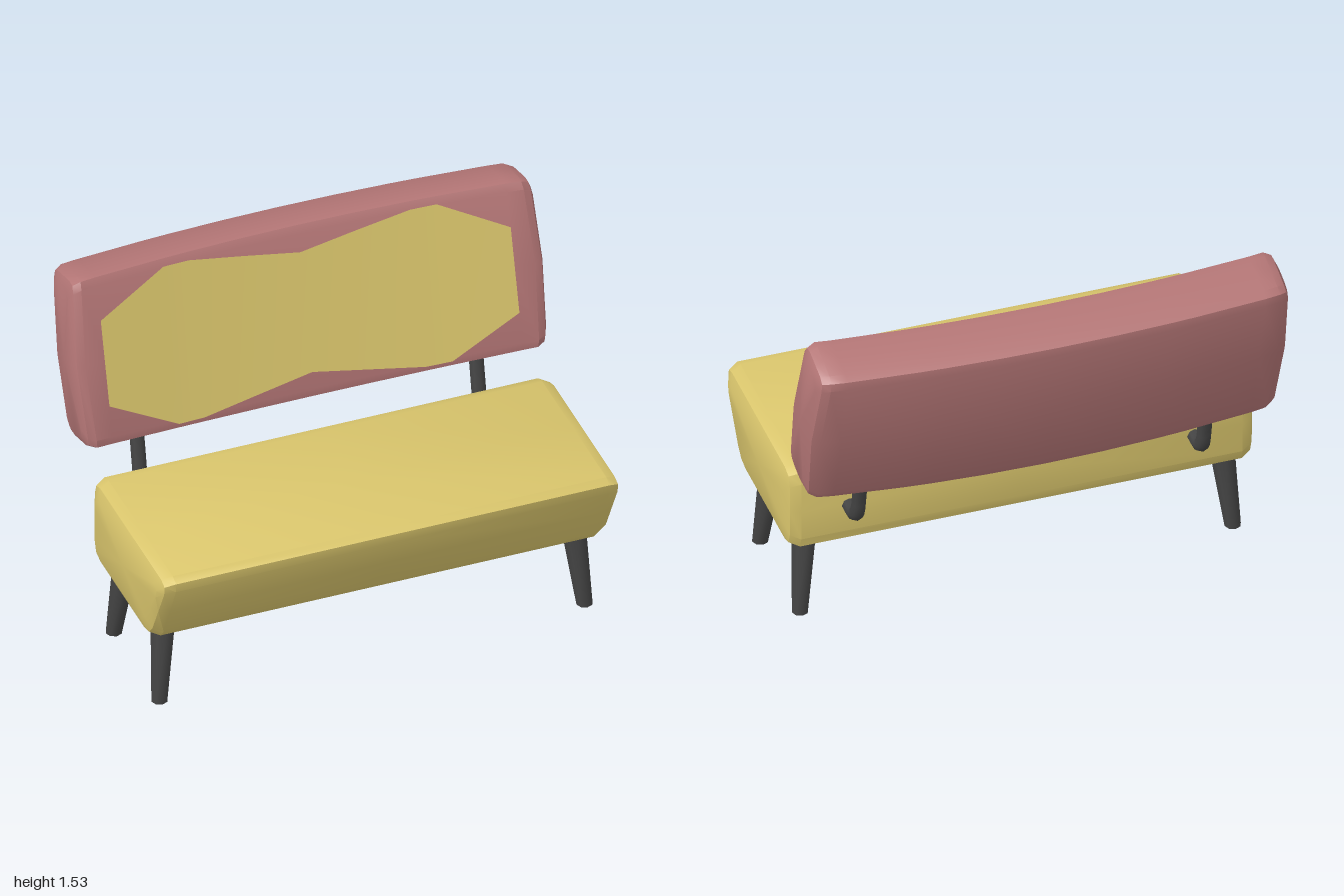
import * as THREE from 'three';
import { toCreasedNormals } from 'three/addons/utils/BufferGeometryUtils.js';

const mat = (name, color) => {
  const m = new THREE.MeshStandardMaterial({ color });
  m.name = name;
  return m;
};

// Four [z, y] corners (front bottom, back bottom, back top, front top), inset,
// with two-step bevels and a midpoint on each side.
function section(corners, inset, r) {
  const q = corners.map(([z, y], i) => new THREE.Vector2(
    z + (i === 0 || i === 3 ? -inset : inset), y + (i < 2 ? inset : -inset)));
  const pts = [];
  q.forEach((c, i) => {
    const prev = q[(i + 3) % 4], next = q[(i + 1) % 4];
    const a = prev.clone().sub(c).setLength(r).add(c);
    const b = next.clone().sub(c).setLength(r).add(c);
    const m = a.clone().add(b).multiplyScalar(0.25).addScaledVector(c, 0.5);
    pts.push(a, m, b, next.clone().add(c).multiplyScalar(0.5));
  });
  return pts;
}

// Cushion lofted along x, with bevelled ends; warp adjusts each point.
function cushion(corners, halfX, r, innerX, warp = (p) => p) {
  const half = [...innerX.map((x) => [x, 0]),
    [halfX - r, 0], [halfX - 0.3 * r, 0.3 * r], [halfX, r]];
  const stations = [...half.slice().reverse().map(([x, s]) => [-x, s]), [0, 0], ...half];
  const rings = stations.map(([x, s]) =>
    section(corners, s, r).map((p) => warp(new THREE.Vector3(x, p.y, p.x))));
  const pos = [];
  const tri = (...ps) => ps.forEach((p) => pos.push(p.x, p.y, p.z));
  const n = rings[0].length;
  for (let i = 0; i < rings.length - 1; i++) {
    for (let j = 0; j < n; j++) {
      const k = (j + 1) % n;
      tri(rings[i][j], rings[i][k], rings[i + 1][k]);
      tri(rings[i][j], rings[i + 1][k], rings[i + 1][j]);
    }
  }
  // end caps
  [rings[0], rings[rings.length - 1]].forEach((ring, e) => {
    const c = ring.reduce((s, p) => s.add(p), new THREE.Vector3()).divideScalar(n);
    c.x = Math.sign(c.x) * halfX;
    ring.forEach((p, j) => {
      const next = ring[(j + 1) % n];
      if (e) tri(c, p, next); else tri(c, next, p);
    });
  });
  const g = new THREE.BufferGeometry();
  g.setAttribute('position', new THREE.Float32BufferAttribute(pos, 3));
  return toCreasedNormals(g, 0.5);
}

export function createModel() {
  const model = new THREE.Group();
  const yellow = mat('yellow fabric', 0xd9c56c);
  const rose = mat('rose fabric', 0xb47676);
  const dark = mat('dark metal', 0x444444);
  const add = (parent, name, geo, material) => {
    const m = new THREE.Mesh(geo, material);
    m.name = name;
    parent.add(m);
    return m;
  };

  // Seat with a raked front
  add(model, 'seat', cushion(
    [[0.483, 0.345], [-0.15, 0.345], [-0.15, 0.735], [0.666, 0.735]], 0.98, 0.06, []), yellow);

  // Backrest: leaning, wrapping forward at the ends, slightly bulged outline
  const back = new THREE.Group();
  back.name = 'backrest';
  back.rotation.x = -Math.PI / 12;
  model.add(back);
  const midV = 1.213, halfV = 0.376, frontZ = 0.012;
  const sag = (x) => 0.055 * x * x;
  const bend = (p) => {
    const v = (p.y - midV) / halfV;
    p.z += sag(p.x);
    p.y -= v * 0.012 * p.x * p.x;
    if (Math.abs(p.x) > 0.9) p.x *= 1 - 0.022 * v * v;
    return p;
  };
  add(back, 'backCushion', cushion(
    [[frontZ, midV - halfV], [-0.233, midV - halfV], [-0.233, midV + halfV], [frontZ, midV + halfV]],
    1, 0.045, [0.24, 0.47, 0.58, 0.87], bend), rose);

  // Yellow front panel: [x, low, high]
  const cols = [[0, 0.955, 1.467], [0.24, 0.912, 1.507], [0.47, 0.873, 1.545],
    [0.58, 0.873, 1.545], [0.87, 1.022, 1.388]];
  const all = [...cols.slice(1).reverse().map(([x, a, b]) => [-x, a, b]), ...cols];
  const pos = [], index = [];
  all.forEach(([x, a, b], i) => {
    const z = frontZ + sag(x) + 0.004;
    pos.push(x, a, z, x, b, z);
    if (i) index.push(2 * i - 2, 2 * i, 2 * i + 1, 2 * i - 2, 2 * i + 1, 2 * i - 1);
  });
  const panel = new THREE.BufferGeometry();
  panel.setAttribute('position', new THREE.Float32BufferAttribute(pos, 3));
  panel.setIndex(index);
  panel.computeVertexNormals();
  add(back, 'backPanel', panel, yellow);

  for (const side of [-1, 1]) {
    // Tapered, splayed legs
    for (const [name, topZ, footZ] of [['frontLeg', 0.372, 0.415], ['backLeg', -0.036, -0.08]]) {
      const h = 0.37;
      const g = new THREE.CylinderGeometry(0.053, 0.034, h, 8);
      g.translate(0, h / 2, 0);
      const p = g.attributes.position;
      for (let i = 0; i < p.count; i++) {
        const t = p.getY(i) / h;
        p.setX(i, p.getX(i) + side * (0.902 - 0.032 * t));
        p.setZ(i, p.getZ(i) + footZ + (topZ - footZ) * t);
      }
      g.computeVertexNormals();
      add(model, name, toCreasedNormals(g, 0.9), dark);
    }
    // Bent bracket joining seat and backrest
    const path = new THREE.CurvePath();
    const pt = (y, z) => new THREE.Vector3(side * 0.72, y, z);
    path.add(new THREE.LineCurve3(pt(0.53, -0.12), pt(0.53, -0.19)));
    path.add(new THREE.QuadraticBezierCurve3(pt(0.53, -0.19), pt(0.53, -0.255), pt(0.63, -0.268)));
    path.add(new THREE.LineCurve3(pt(0.63, -0.268), pt(0.83, -0.308)));
    add(model, 'bracket', new THREE.TubeGeometry(path, 14, 0.031, 8), dark);
  }
  return model;
}
